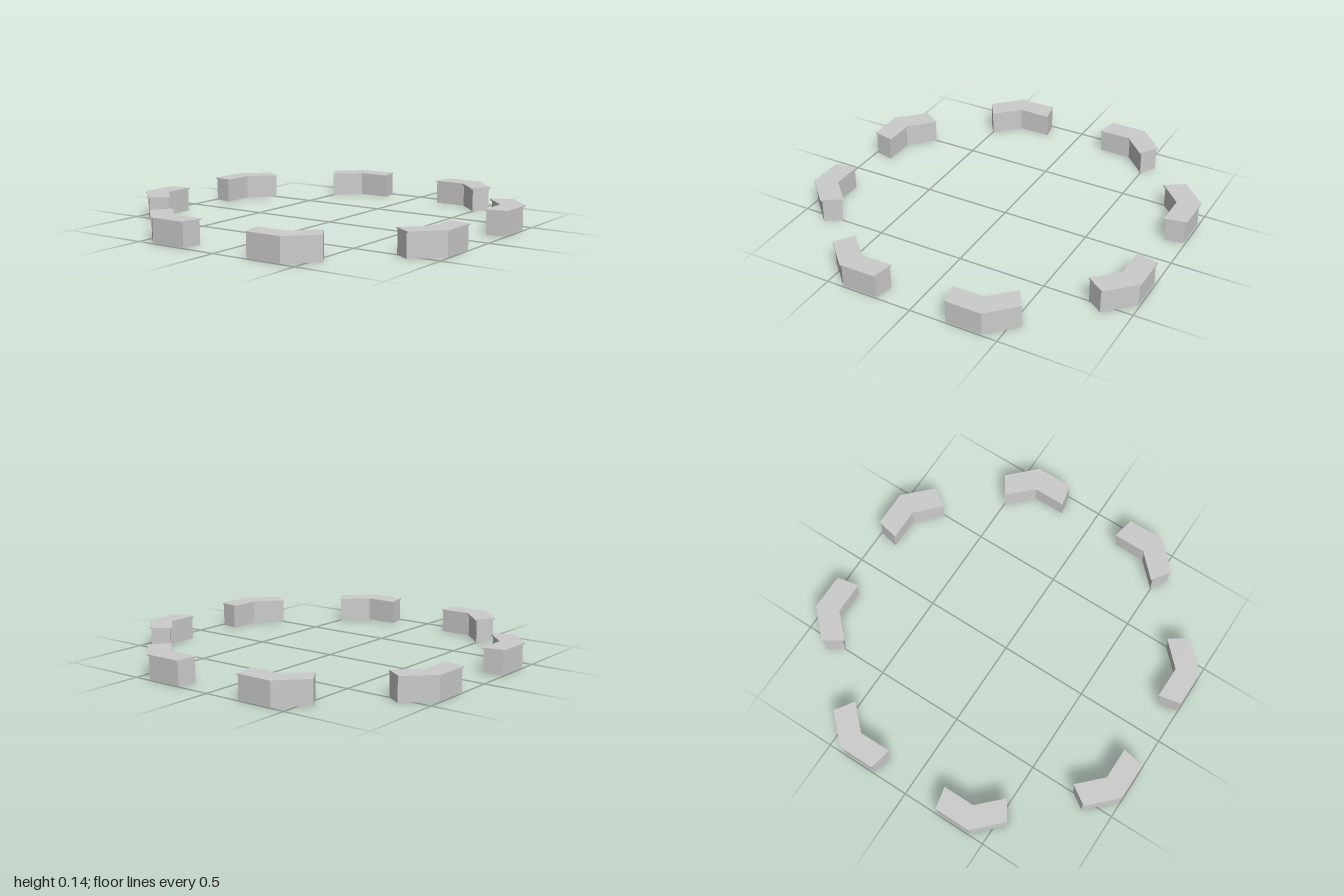
import * as THREE from 'three';

const CORNER = Math.PI / 8;     // half the angle of one octagon side
const END = Math.atan(0.206);   // where a wall's radial end cuts the octagon side

// Bent prism around one octagon corner, between two apothems and two heights
function bentPrism(name, inner, outer, y0, y1, material) {
  const corner = (a) => new THREE.Vector2(a / Math.cos(CORNER), 0);
  const end = (a, side) => {
    const r = a / Math.cos(END);
    const t = side * (CORNER - END);
    return new THREE.Vector2(r * Math.cos(t), r * Math.sin(t));
  };
  const shape = new THREE.Shape([
    end(outer, -1), corner(outer), end(outer, 1),
    end(inner, 1), corner(inner), end(inner, -1),
  ]);
  const geometry = new THREE.ExtrudeGeometry(shape, { depth: y1 - y0, bevelEnabled: false });
  geometry.rotateX(-Math.PI / 2).translate(0, y0, 0);
  const mesh = new THREE.Mesh(geometry, material);
  mesh.name = name;
  return mesh;
}

export function createModel() {
  const model = new THREE.Group();
  model.name = 'wallRing';
  const material = new THREE.MeshStandardMaterial({ color: 0xcccccc, flatShading: true });

  // Eight bent wall sections, one on each corner of the octagon
  for (let i = 0; i < 8; i++) {
    const section = new THREE.Group();
    section.name = `wallSection${i + 1}`;
    section.add(
      bentPrism('wallBody', 0.886, 0.99, 0, 0.129, material),
      // thin coping that overhangs the wall on both faces
      bentPrism('wallCap', 0.875, 1, 0.129, 0.137, material),
    );
    section.rotation.y = CORNER + (i * Math.PI) / 4;
    model.add(section);
  }
  return model;
}
